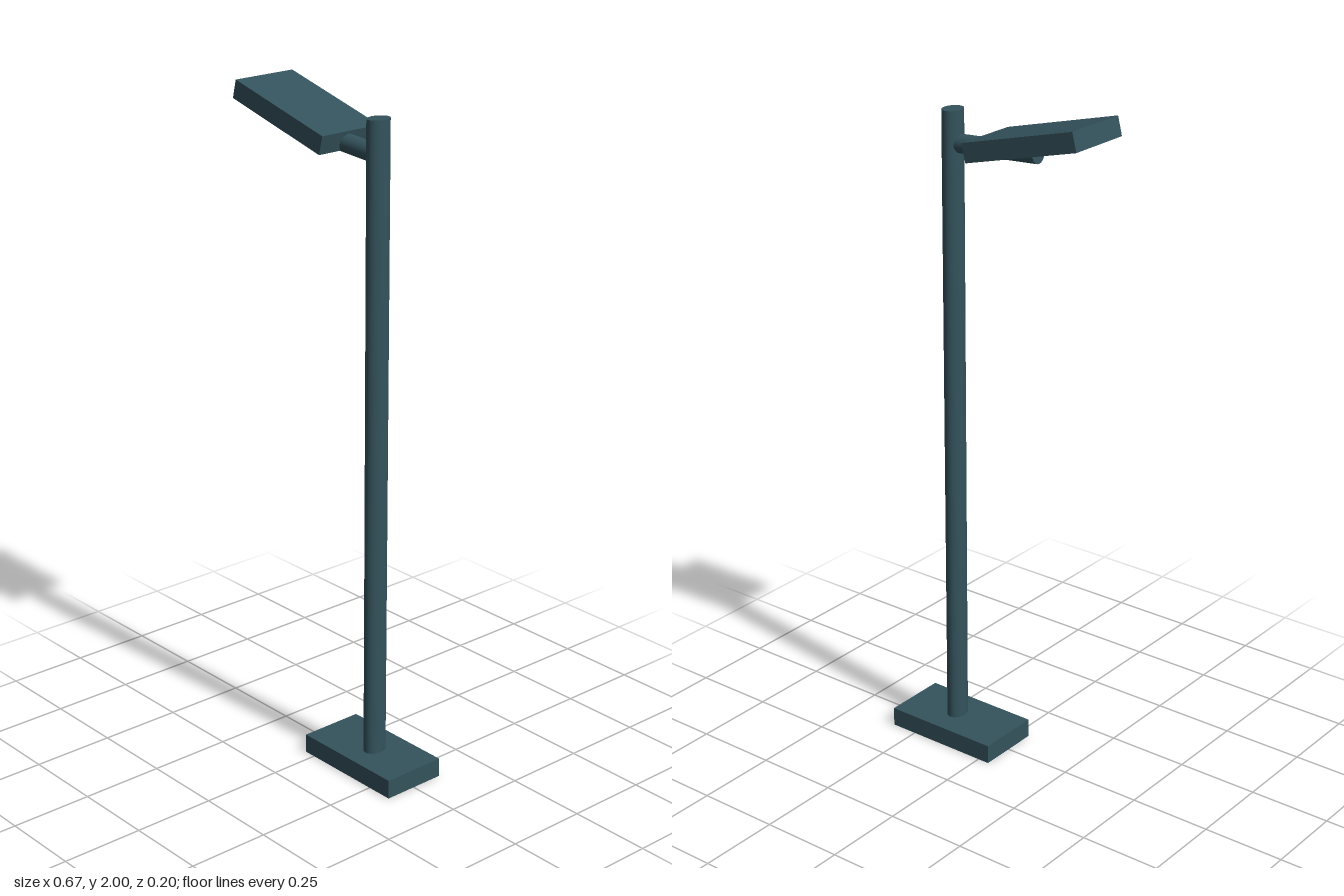
import * as THREE from 'three';

export function createModel() {
  const model = new THREE.Group();
  const material = new THREE.MeshStandardMaterial({ color: 0x34535d });

  const add = (name, geometry, x, y, z, tilt = 0) => {
    const mesh = new THREE.Mesh(geometry, material);
    mesh.name = name;
    mesh.position.set(x, y, z);
    mesh.rotation.z = tilt;
    model.add(mesh);
    return mesh;
  };

  // Flat foot plate
  add('base', new THREE.BoxGeometry(0.369, 0.058, 0.2), 0.148, 0.029, -0.001);

  // Slightly oval upright pole
  const poleGeometry = new THREE.CylinderGeometry(1, 1, 1.91, 32).scale(0.028, 1, 0.036);
  add('pole', poleGeometry, 0.163, 1.005, 0.002);

  // Short round arm running from the pole to under the lamp head
  const from = new THREE.Vector2(0.15, 1.863);
  const to = new THREE.Vector2(-0.13, 1.881);
  const span = to.clone().sub(from);
  const middle = from.clone().add(to).multiplyScalar(0.5);
  const armGeometry = new THREE.CylinderGeometry(0.027, 0.027, span.length(), 32);
  add('arm', armGeometry, middle.x, middle.y, 0.005, span.angle() - Math.PI / 2);

  // Tilted box lamp head
  add('lampHead', new THREE.BoxGeometry(0.381, 0.056, 0.205), -0.143, 1.925, -0.001, -0.25);

  return model;
}
